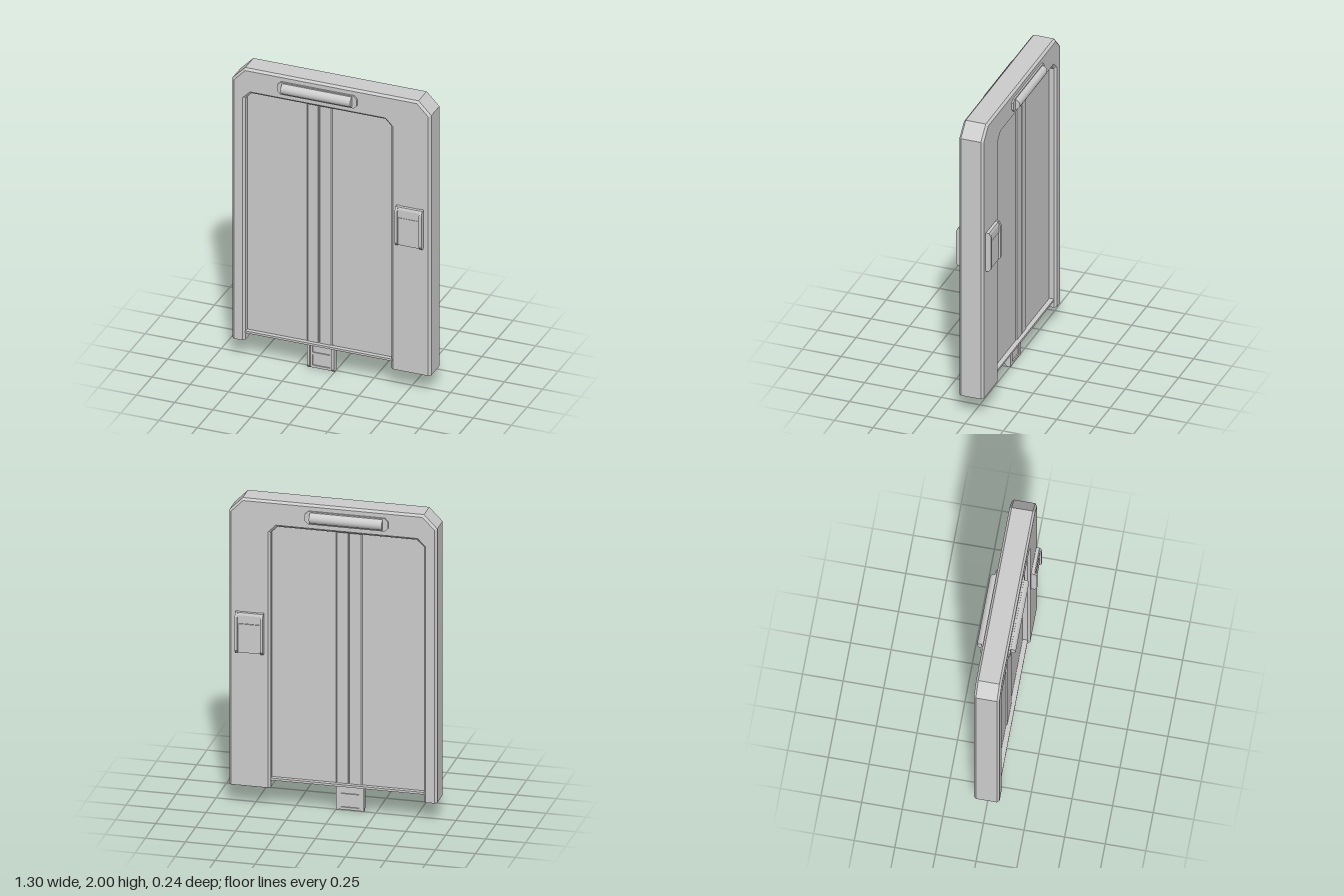
import * as THREE from 'three';

const metal = new THREE.MeshStandardMaterial({ color: 0xcccccc });
metal.name = 'lightGreyMetal';

function add(parent, name, geometry, x = 0, y = 0, z = 0) {
  const mesh = new THREE.Mesh(geometry, metal);
  mesh.name = name;
  mesh.position.set(x, y, z);
  parent.add(mesh);
  return mesh;
}

// Box given by its minimum and maximum corners
function block(parent, name, [x0, x1], [y0, y1], [z0, z1]) {
  return add(parent, name, new THREE.BoxGeometry(x1 - x0, y1 - y0, z1 - z0),
    (x0 + x1) / 2, (y0 + y1) / 2, (z0 + z1) / 2);
}

const shapeOf = (points) => new THREE.Shape(points.map(([x, y]) => new THREE.Vector2(x, y)));
const extrude = (points, depth) =>
  new THREE.ExtrudeGeometry(shapeOf(points), { depth, bevelEnabled: false });

// Profile given as [z, y], extruded along x from x0 to x1
function sideProfile(parent, name, points, x0, x1) {
  const geometry = extrude(points.map(([z, y]) => [-z, y]), x1 - x0);
  geometry.rotateY(Math.PI / 2);
  return add(parent, name, geometry, x0);
}

// Bevelled surround with cut corners, open at the bottom
function createFrame(parent) {
  const base = 0.13, bevel = 0.014;
  const geometry = new THREE.ExtrudeGeometry(shapeOf([
    [-0.65, base], [-0.566, base], [-0.566, 1.79], [-0.525, 1.832], [0.35, 1.832], [0.391, 1.79],
    [0.391, base], [0.65, base], [0.65, 1.915], [0.567, 2], [-0.567, 2], [-0.65, 1.915],
  ]), { depth: 0.13, bevelThickness: bevel, bevelSize: bevel, bevelOffset: -bevel, bevelSegments: 1 });
  const position = geometry.attributes.position;
  // Keep the feet square
  for (let i = 0; i < position.count; i++) {
    if (position.getY(i) < base + 0.03) position.setY(i, base);
  }
  geometry.computeVertexNormals();
  add(parent, 'frame', geometry, 0, 0, -0.065);
}

// Two sliding leaves, each with a raised strip along the meeting edge
function createDoors(parent) {
  const seam = -0.0925;
  const leaves = [['right', -0.57, seam - 0.002, -1], ['left', seam + 0.002, 0.395, 1]];
  for (const [side, x0, x1, dir] of leaves) {
    block(parent, side + 'DoorLeaf', [x0, x1], [0.183, 1.835], [-0.034, 0.034]);
    const near = seam + dir * 0.007, far = seam + dir * 0.084, slope = dir * 0.009;
    for (const face of [1, -1]) {
      const points = [[near, face * 0.033], [near, face * 0.041], [far - slope, face * 0.041], [far, face * 0.033]];
      const geometry = extrude(points, 1.64);
      geometry.rotateX(-Math.PI / 2);
      // The rotation sends shape y to -z, so both faces are covered by the loop
      add(parent, side + 'DoorStrip', geometry, 0, 0.19, 0);
    }
  }
}

// Threshold rails on both sides of the leaves
function createSill(parent) {
  for (const s of [1, -1]) {
    const z = [s * 0.038, s * 0.066].sort((a, b) => a - b);
    block(parent, 'sillRail', [-0.568, 0.393], [0.176, 0.19], z);
  }
  block(parent, 'sillCore', [-0.568, 0.393], [0.182, 0.187], [-0.05, 0.05]);
}

// Half-round lamp on a thin plate with cut corners
function createLamp() {
  const lamp = new THREE.Group();
  lamp.name = 'lamp';
  const w = 0.26, h = 0.042, c = 0.02;
  const plate = extrude([[-w, -h + c], [-w + c, -h], [w - c, -h], [w, -h + c],
    [w, h - c], [w - c, h], [-w + c, h], [-w, h - c]], 0.012);
  add(lamp, 'lampPlate', plate);
  const tube = new THREE.CylinderGeometry(0.035, 0.035, 0.455, 32);
  tube.rotateZ(Math.PI / 2);
  add(lamp, 'lampTube', tube, 0, 0, 0.007);
  return lamp;
}

// Side rails shared by the control boxes and the lower bracket
function addRails(group, height, topCut) {
  const profile = [[-0.005, 0], [0.02, 0], [0.036, 0.02],
    [0.036, height - topCut], [0.022, height], [-0.005, height]];
  sideProfile(group, 'sideRail', profile, -0.0875, -0.071);
  sideProfile(group, 'sideRail', profile, 0.071, 0.0875);
}

function createControlBox() {
  const box = new THREE.Group();
  box.name = 'controlBox';
  addRails(box, 0.265, 0.028);
  block(box, 'backPlate', [-0.071, 0.071], [0.004, 0.19], [-0.005, 0.022]);
  // Display with a sloping hood above it
  sideProfile(box, 'display', [[-0.005, 0.194], [0.026, 0.194], [0.026, 0.247],
    [0.02, 0.263], [-0.005, 0.263]], -0.071, 0.071);
  block(box, 'displayGroove', [-0.071, 0.071], [0.188, 0.196], [-0.005, 0.014]);
  return box;
}

// Bracket hanging below the threshold
function createBracket() {
  const bracket = new THREE.Group();
  bracket.name = 'lowerBracket';
  addRails(bracket, 0.2, 0.01);
  block(bracket, 'bracketPlate', [-0.072, 0.072], [0.004, 0.19], [0.004, 0.016]);
  for (const y of [0.004, 0.092, 0.176]) {
    block(bracket, 'crossBar', [-0.072, 0.072], [y, y + 0.016], [-0.004, 0.023]);
  }
  for (const x of [-0.064, 0.064]) {
    block(bracket, 'innerUpright', [x - 0.008, x + 0.008], [0.004, 0.19], [-0.004, 0.023]);
  }
  return bracket;
}

export function createModel() {
  const model = new THREE.Group();
  model.name = 'slidingDoor';
  createFrame(model);
  createDoors(model);
  createSill(model);

  // Fittings on the front and the back
  for (const face of [1, -1]) {
    const turn = face > 0 ? 0 : Math.PI;
    const lamp = createLamp();
    lamp.position.set(-0.0875, 1.917, face * 0.078);
    lamp.rotation.y = turn;
    const box = createControlBox();
    box.position.set(0.5175, 1.0, face * 0.079);
    box.rotation.y = turn;
    model.add(lamp, box);
  }

  const bracket = createBracket();
  bracket.position.set(-0.0875, 0, 0);
  model.add(bracket);
  return model;
}
